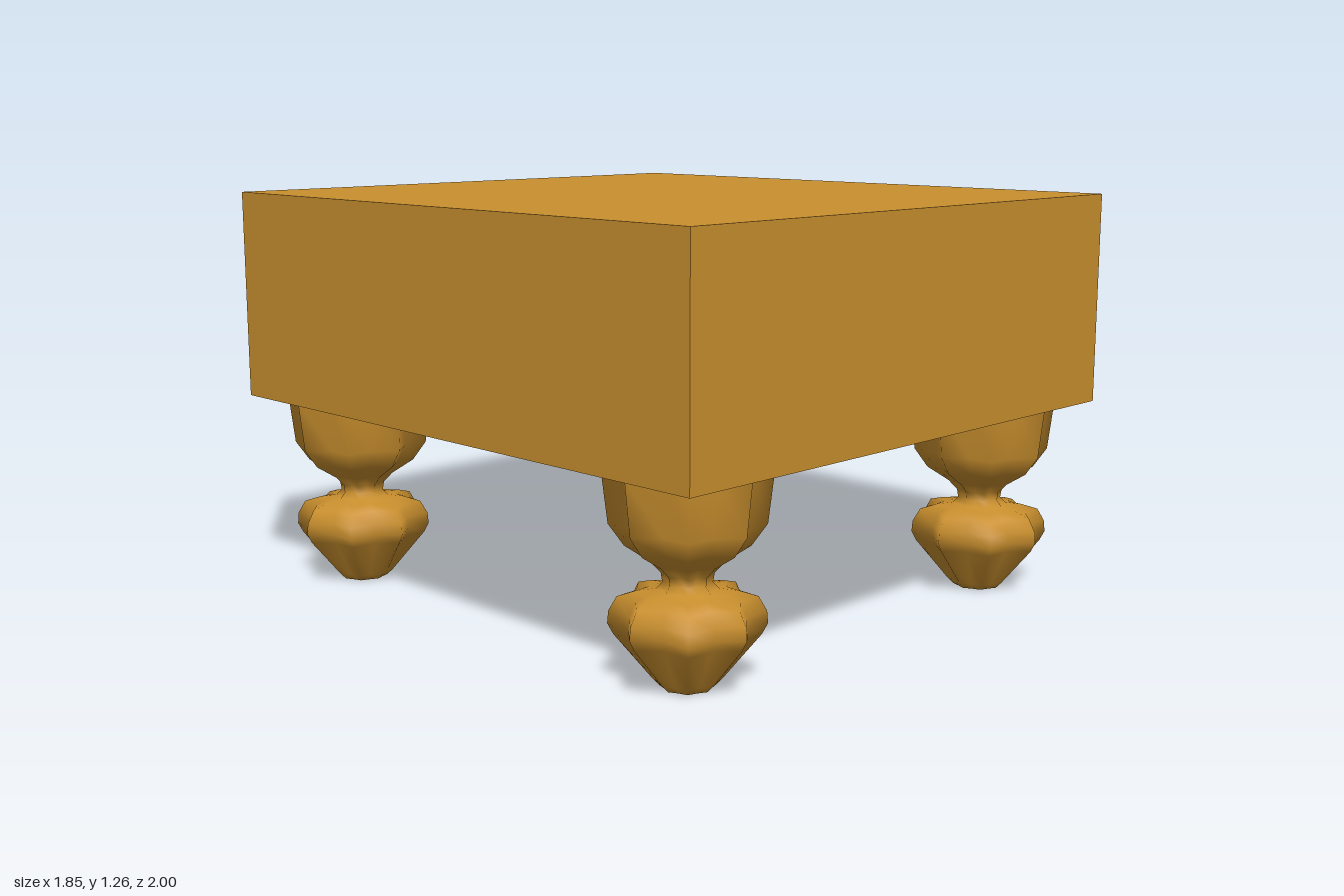
import * as THREE from 'three';
import { mergeVertices } from 'three/addons/utils/BufferGeometryUtils.js';

// Half-profile of a turned leg: [radius, height]
const LEG_PROFILE = [
  [0, 0], [0.075, 0], [0.095, 0.02], [0.2, 0.145], [0.216, 0.175], [0.213, 0.21],
  [0.19, 0.25], [0.14, 0.265], [0.085, 0.272], [0.068, 0.29], [0.072, 0.315],
  [0.1, 0.345], [0.17, 0.39], [0.213, 0.45], [0.232, 0.61],
];
const LOBES = 8;
const VALLEY = 0.79;

// Lathe whose every second ridge is pulled in, giving eight lobes
function lobedLegGeometry() {
  const points = LEG_PROFILE.map(([r, y]) => new THREE.Vector2(r, y));
  const lathe = new THREE.LatheGeometry(points, LOBES * 2);
  const pos = lathe.attributes.position;
  for (let i = 0; i < pos.count; i++) {
    const ridge = Math.round(Math.atan2(pos.getX(i), pos.getZ(i)) / (Math.PI / LOBES));
    if (ridge % 2 === 0) continue;
    // the small foot stays rounder than the bulges
    const k = pos.getY(i) < 0.03 ? 0.9 : VALLEY;
    pos.setX(i, pos.getX(i) * k);
    pos.setZ(i, pos.getZ(i) * k);
  }
  lathe.deleteAttribute('normal');
  lathe.deleteAttribute('uv');
  const geometry = mergeVertices(lathe, 1e-4);
  geometry.computeVertexNormals();
  return geometry;
}

export function createModel() {
  const group = new THREE.Group();
  group.name = 'footstool';
  const wood = new THREE.MeshStandardMaterial({ color: 0xc98f2e });
  wood.name = 'golden wood';

  // Solid block seat
  const seat = new THREE.Mesh(new THREE.BoxGeometry(1.85, 0.66, 2), wood);
  seat.name = 'seat';
  seat.position.y = 0.935;
  group.add(seat);

  // Four lobed legs
  const legGeometry = lobedLegGeometry();
  for (const [side, sx] of [['Left', 1], ['Right', -1]]) {
    for (const [end, sz] of [['front', 1], ['back', -1]]) {
      const leg = new THREE.Mesh(legGeometry, wood);
      leg.name = `${end}${side}Leg`;
      leg.position.set(sx * 0.675, 0, sz * 0.75);
      group.add(leg);
    }
  }
  return group;
}
